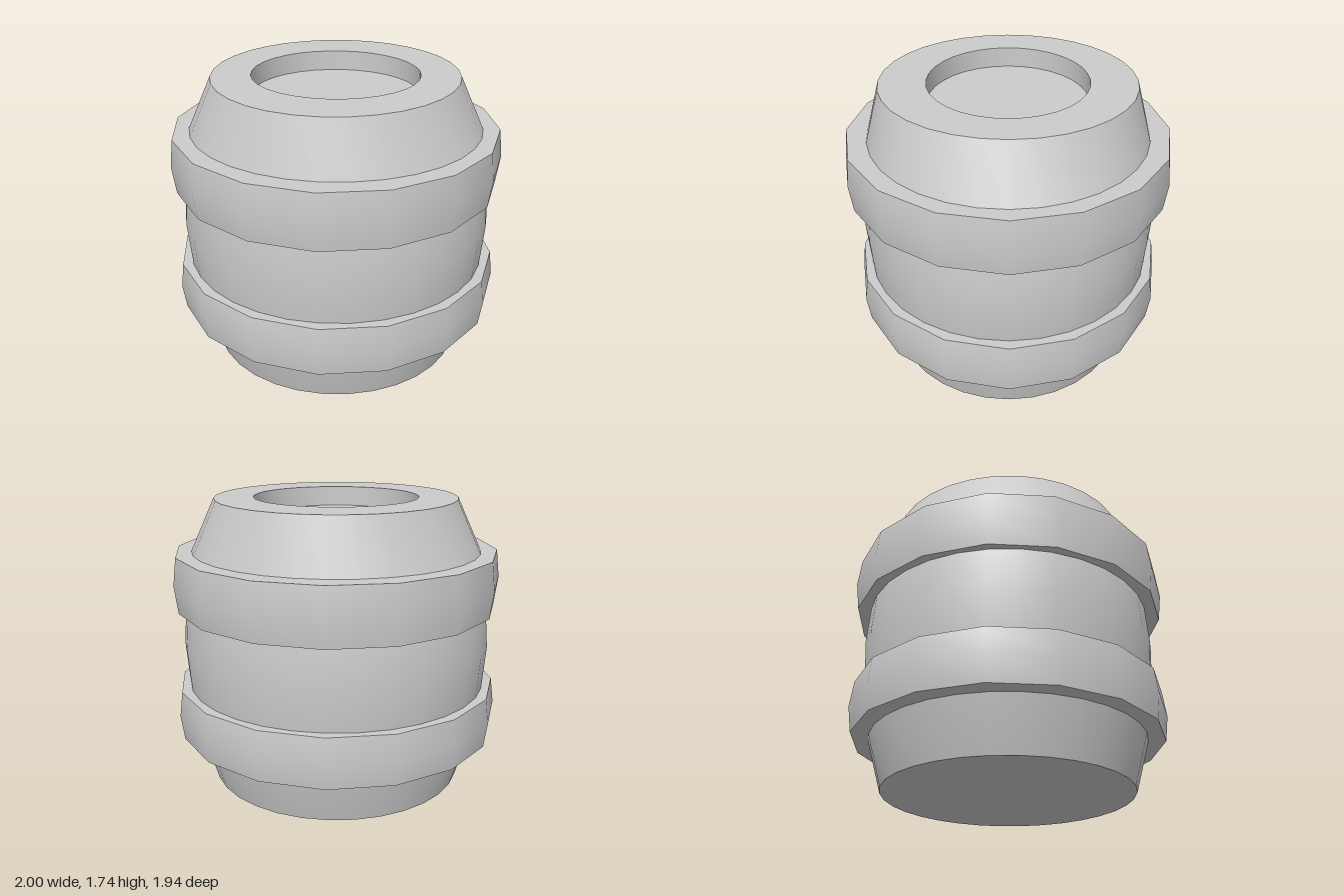
import * as THREE from 'three';
import { mergeVertices } from 'three/addons/utils/BufferGeometryUtils.js';

const material = new THREE.MeshStandardMaterial({ color: 0xcccccc });

// Smooth elliptical surface through rings given as [x radius, z radius, y]
function surface(rings, sides) {
  let geo = new THREE.LatheGeometry(rings.map(([rx, , y]) => new THREE.Vector2(rx, y)), sides);
  const pos = geo.attributes.position;
  for (let i = 0; i < pos.count; i++) {
    const [rx, rz] = rings[i % rings.length];
    if (rx > 0) pos.setZ(i, pos.getZ(i) * rz / rx);
  }
  geo.deleteAttribute('normal');
  geo.deleteAttribute('uv');
  geo = mergeVertices(geo, 1e-4);
  geo.computeVertexNormals();
  return geo;
}

// Each section is smooth in itself, with a hard edge where sections meet
function part(name, sections, sides) {
  const group = new THREE.Group();
  group.name = name;
  sections.forEach((rings, i) => {
    const mesh = new THREE.Mesh(surface(rings, sides), material);
    mesh.name = `${name}Surface${i + 1}`;
    group.add(mesh);
  });
  return group;
}

// Faceted hoop with a slight ridge at mid height
function hoop(name, rx, rz, y0, y1) {
  const lip = 0.02, inner = 0.15;
  const low = [rx - lip, rz - lip, y0];
  const high = [rx - lip, rz - lip, y1];
  const lowIn = [rx - inner, rz - inner, y0];
  const highIn = [rx - inner, rz - inner, y1];
  return part(name, [
    [lowIn, low],
    [low, [rx, rz, (y0 + y1) / 2], high],
    [high, highIn],
  ], 16);
}

export function createModel() {
  const model = new THREE.Group();
  model.name = 'barrel';

  // Bulging body, closed at the bottom, with a recessed lid
  const base = [0.78, 0.74, 0];
  const shoulder = [0.865, 0.825, 1.43];
  const rim = [0.72, 0.737, 1.74];
  const holeTop = [0.49, 0.465, 1.74];
  const holeFloor = [0.49, 0.465, 1.62];
  model.add(part('body', [
    [[0, 0, 0], base],
    [base, [0.865, 0.825, 0.3], [0.915, 0.868, 0.6], [0.935, 0.885, 0.87],
      [0.915, 0.868, 1.1], shoulder],
    [shoulder, rim],
    [rim, holeTop],
    [holeTop, holeFloor],
    [holeFloor, [0, 0, 1.62]],
  ], 32));

  // Two hoops
  model.add(hoop('lowerHoop', 1.0, 0.948, 0.3, 0.605));
  model.add(hoop('upperHoop', 0.985, 0.972, 1.1, 1.43));
  return model;
}
